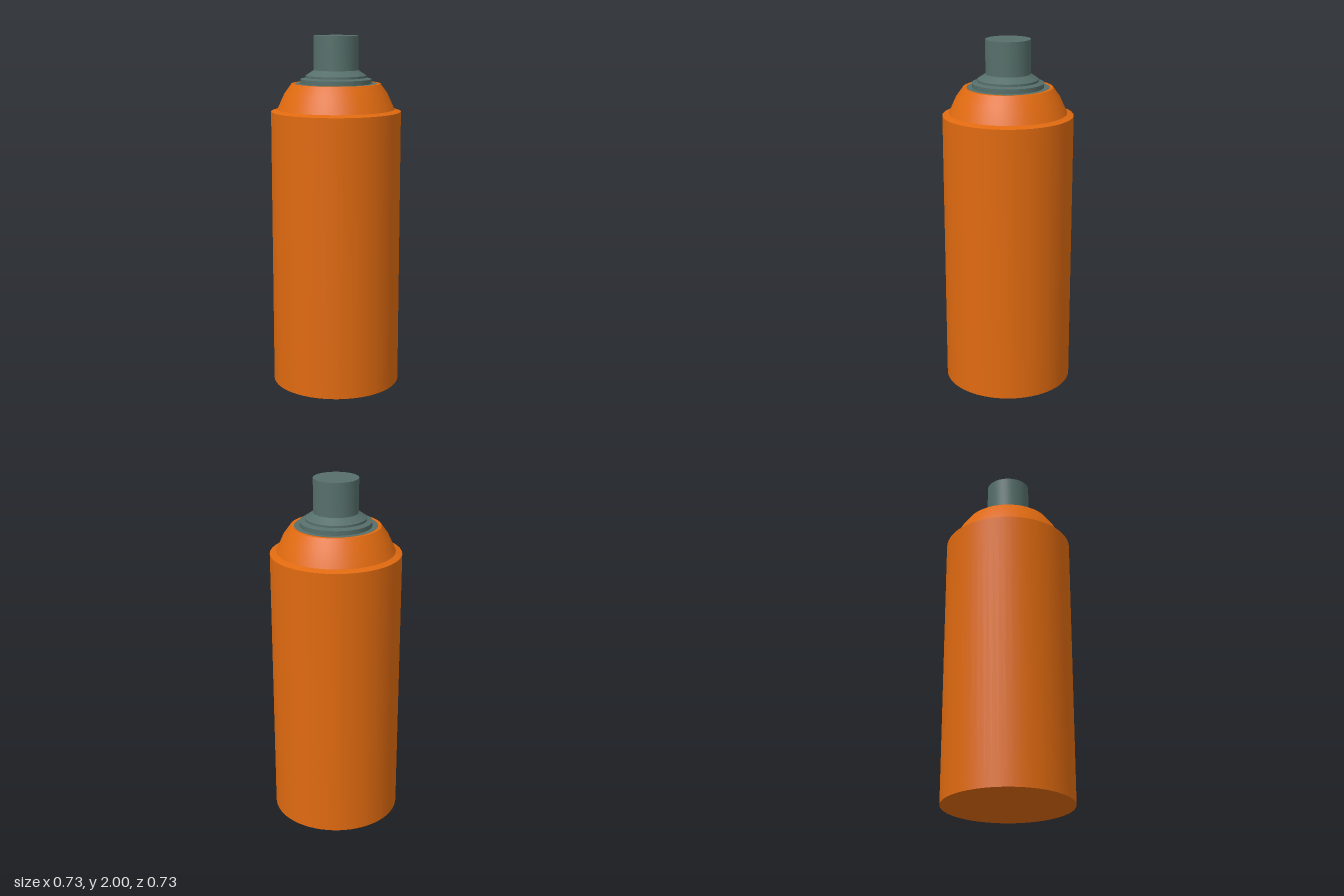
import * as THREE from 'three';
import { toCreasedNormals } from 'three/addons/utils/BufferGeometryUtils.js';

// Turned part: smooth around the axis, sharp at strong profile corners
function turned(name, profile, material) {
  const points = profile.map(([r, y]) => new THREE.Vector2(r, y));
  const geometry = toCreasedNormals(new THREE.LatheGeometry(points, 64), 0.6);
  const mesh = new THREE.Mesh(geometry, material);
  mesh.name = name;
  return mesh;
}

export function createModel() {
  const orange = new THREE.MeshStandardMaterial({ name: 'orange paint', color: 0xe06a10 });
  const grey = new THREE.MeshStandardMaterial({ name: 'grey green plastic', color: 0x566f6a });

  const model = new THREE.Group();
  model.name = 'sprayCan';

  // Can with a flat base and a narrow sloping ledge at the top
  model.add(turned('canBody', [[0, 0], [0.366, 0], [0.366, 1.58], [0.33, 1.592]], orange));

  // Domed shoulder ending in a flat rim
  model.add(turned('shoulder', [[0.33, 1.592], [0.29, 1.68], [0.25, 1.735], [0.23, 1.735]], orange));

  // Valve cup: flat disc, two steps and a cone up to the nozzle
  model.add(turned('valveCup', [
    [0.23, 1.735], [0.2, 1.735], [0.2, 1.76], [0.17, 1.768], [0.17, 1.78], [0.125, 1.81],
  ], grey));

  // Nozzle button
  model.add(turned('nozzle', [[0.125, 1.81], [0.125, 2], [0, 2]], grey));

  return model;
}
